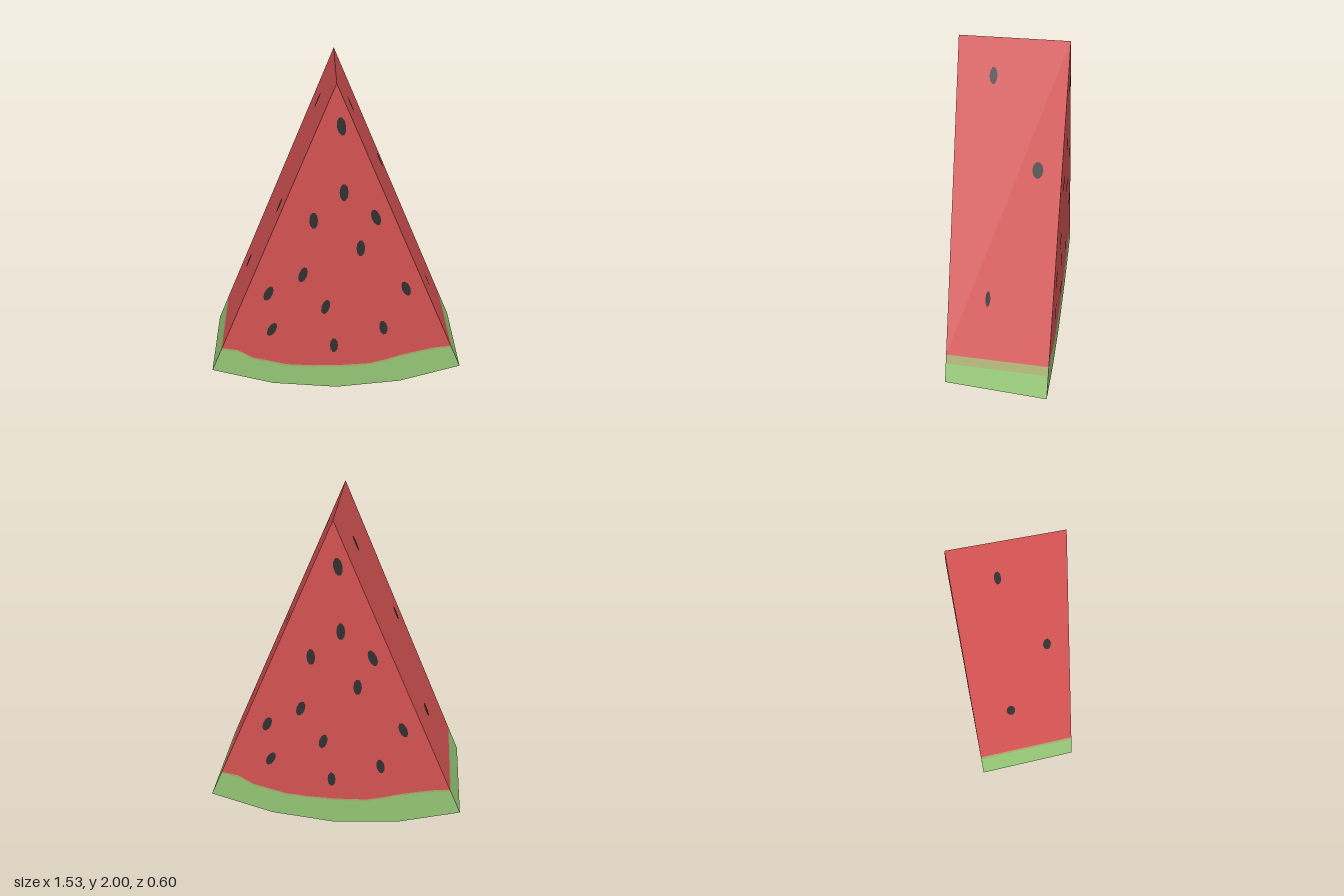
import * as THREE from 'three';

const paint = (name, color) => {
  const m = new THREE.MeshStandardMaterial({ color });
  m.name = name;
  return m;
};

const HALF = 0.295;   // half thickness of the slice
const TOP = 2;        // height of the tip
const SLOPE = 0.4155; // half width gained per unit below the tip
const edgeX = (y) => SLOPE * (TOP - y);

// Where the flesh meets the rind, left to right
const LINE = [[-0.683, 0.355], [-0.59, 0.338], [-0.5, 0.28], [-0.39, 0.25], [-0.3, 0.225],
  [-0.15, 0.213], [0, 0.21], [0.2, 0.222], [0.3, 0.25], [0.39, 0.282], [0.5, 0.312],
  [0.6, 0.335], [0.688, 0.345]];

// Faceted underside, slightly lower at the back
const cornerY = (z) => 0.1725 + 0.0175 * z / HALF;
function underside(x, z) {
  const t = z / HALF, ax = Math.abs(x), c = edgeX(cornerY(z));
  const mid = 0.02 + 0.02 * t, kink = 0.06 + 0.02 * t;
  const y = ax < 0.39 ? mid + (kink - mid) * ax / 0.39
    : kink + (cornerY(z) - kink) * (ax - 0.39) / (c - 0.39);
  return [x, y, z];
}

// Joins pairs of equally long rows of points, lower row first
function surface(name, material, pairs) {
  const pos = [];
  for (const [a, b] of pairs) {
    for (let i = 0; i < a.length - 1; i++) {
      pos.push(...a[i], ...a[i + 1], ...b[i + 1], ...a[i], ...b[i + 1], ...b[i]);
    }
  }
  const g = new THREE.BufferGeometry();
  g.setAttribute('position', new THREE.Float32BufferAttribute(pos, 3));
  g.computeVertexNormals();
  const mesh = new THREE.Mesh(g, material);
  mesh.name = name;
  return mesh;
}

// [across, height, tilt]
const FACE_SEEDS = [[0.025, 1.77, 0.15], [0.04, 1.39, 0], [-0.125, 1.22, 0], [0.215, 1.235, 0.35],
  [0.135, 1.04, 0], [-0.19, 0.87, -0.3], [-0.39, 0.745, -0.4], [0.4, 0.765, 0.35],
  [-0.063, 0.645, -0.25], [-0.38, 0.49, -0.45], [0.277, 0.49, 0.15], [-0.015, 0.365, 0]];
// [z, height, half width] in each side's own frame
const SIDE_SEEDS = {
  1: [[0.1, 1.815, 0.021], [-0.165, 1.365, 0.03], [0.07, 0.675, 0.014]],
  [-1]: [[0.06, 1.78, 0.018], [-0.17, 1.25, 0.022], [0.07, 0.74, 0.026]],
};

export function createModel() {
  const flesh = paint('flesh red', 0xd65353);
  const rind = paint('rind light green', 0x95c676);
  const blend = paint('rind olive', 0xa9ac6e);
  const skin = paint('skin green', 0x188442);
  const stripe = paint('skin dark stripe', 0x1a4a30);
  const seedMat = paint('seed black', 0x303030);

  const model = new THREE.Group();
  model.name = 'watermelonSlice';
  const seedShape = new THREE.CircleGeometry(1, 10);
  const seed = (w, h) => {
    const m = new THREE.Mesh(seedShape, seedMat);
    m.name = 'seed';
    m.scale.set(w, h, 1);
    return m;
  };

  // The same pattern, turned half round, serves both cut faces and both sides
  for (const s of [1, -1]) {
    const faceName = s > 0 ? 'front' : 'back', sideName = s > 0 ? 'left' : 'right';
    const lineY = (y, sign) => y - (sign < 0 ? 0.02 : 0);
    const z = s * HALF, last = LINE.length - 1;

    // Cut face
    const row = (drop) => LINE.map(([x, y0], i) => {
      const y = lineY(y0, s) - drop;
      const px = i === 0 ? -edgeX(y) : i === last ? edgeX(y) : x;
      return [s * px, y, z];
    });
    const c = edgeX(cornerY(z));
    const bottom = LINE.map(([x], i) => underside(s * (i === 0 ? -c : i === last ? c : x), z));
    const tip = LINE.map(() => [0, TOP, z]);
    model.add(surface(faceName + 'Rind', rind, [[bottom, row(0.012)]]));
    model.add(surface(faceName + 'RindBlend', blend, [[row(0.012), row(0)]]));
    model.add(surface(faceName + 'Flesh', flesh, [[row(0), tip]]));

    // Side wall
    const y0 = lineY(LINE[last][1], s), y1 = lineY(LINE[0][1], -s);
    const level = (a, b) => [[s * edgeX(a), a, z], [s * edgeX(b), b, -z]];
    const band = s > 0 ? 0.05 : 0.02;
    const foot = level(cornerY(z), cornerY(-z));
    const low = level(y0 - band, y1 - band), high = level(y0, y1);
    model.add(surface(sideName + 'SideRind', rind, [[foot, low]]));
    model.add(surface(sideName + 'SideRindBlend', blend, [[low, high]]));
    model.add(surface(sideName + 'SideFlesh', flesh, [[high, level(TOP, TOP)]]));

    // Seeds on the cut face
    const seeds = new THREE.Group();
    seeds.name = faceName + 'Seeds';
    seeds.rotation.y = s > 0 ? 0 : Math.PI;
    for (const [x, y, tilt] of FACE_SEEDS) {
      const m = seed(0.024, 0.052);
      m.position.set(x, lineY(y, s), HALF + 0.003);
      m.rotation.z = tilt;
      seeds.add(m);
    }
    model.add(seeds);

    // Seeds on the sloping side
    const sideSeeds = new THREE.Group();
    sideSeeds.name = sideName + 'SideSeeds';
    sideSeeds.rotation.y = seeds.rotation.y;
    const n = new THREE.Vector3(1, SLOPE, 0).normalize();
    const basis = new THREE.Matrix4().makeBasis(
      new THREE.Vector3(0, 0, -1), new THREE.Vector3(-n.y, n.x, 0), n);
    for (const [sz, y, w] of SIDE_SEEDS[s]) {
      const m = seed(w, 0.046);
      m.quaternion.setFromRotationMatrix(basis);
      m.position.set(edgeX(y), y, sz).addScaledVector(n, 0.003);
      sideSeeds.add(m);
    }
    model.add(sideSeeds);
  }

  // Outer skin: rows from back to front, with one wavy dark stripe
  const STEPS = 10, parts = [[], [], []];
  const skinRow = (i) => {
    const z = HALF * (2 * i / STEPS - 1), c = edgeX(cornerY(z));
    const a = 0.02 + 0.014 * Math.sin(i * 1.9);
    const b = 0.58 - 0.03 * z / HALF + 0.015 * Math.sin(i * 1.4 + 1);
    return [[-c, -0.39, 0, a], [a, 0.39, b], [b, c]].map((xs) => xs.map((x) => underside(x, z)));
  };
  for (let i = 0; i < STEPS; i++) {
    const back = skinRow(i), front = skinRow(i + 1);
    parts.forEach((p, k) => p.push([back[k], front[k]]));
  }
  model.add(surface('skinRight', skin, parts[0]));
  model.add(surface('skinStripe', stripe, parts[1]));
  model.add(surface('skinLeft', skin, parts[2]));

  return model;
}
